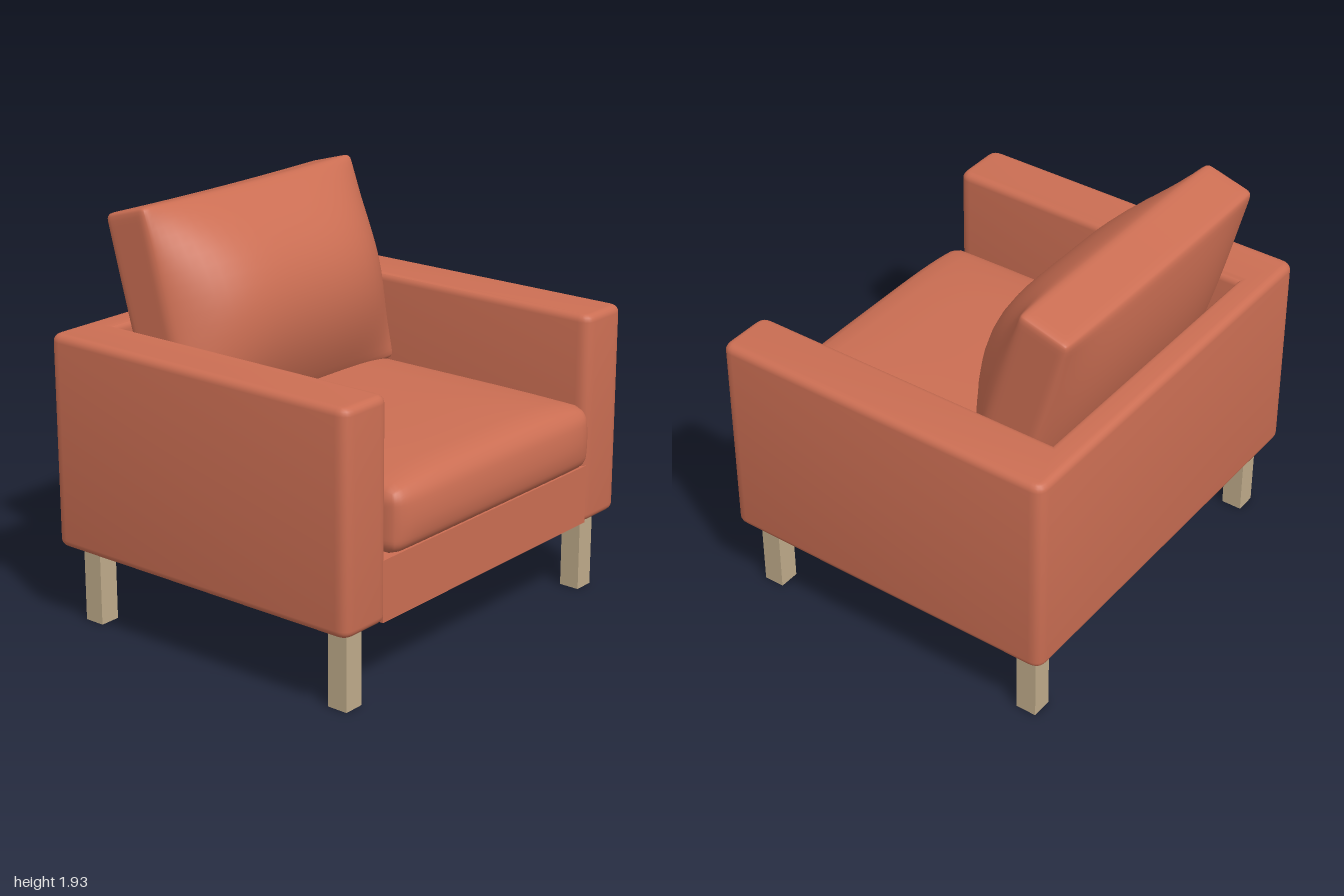
import * as THREE from 'three';
import { mergeVertices, toCreasedNormals } from 'three/addons/utils/BufferGeometryUtils.js';

const fabric = new THREE.MeshStandardMaterial({ color: 0xcb6e53 });
fabric.name = 'terracotta fabric';
const wood = new THREE.MeshStandardMaterial({ color: 0xbfab8a });
wood.name = 'pale wood';

function part(name, geometry, material, x = 0, y = 0, z = 0) {
  const mesh = new THREE.Mesh(geometry, material);
  mesh.name = name;
  mesh.position.set(x, y, z);
  return mesh;
}

// Outline through [x, y, cornerRadius] points
function roundedOutline(points) {
  const shape = new THREE.Shape();
  points.forEach(([x, y, r], i) => {
    const corner = new THREE.Vector2(x, y);
    const towards = (j) => {
      const [px, py] = points[(j + points.length) % points.length];
      return new THREE.Vector2(px, py).sub(corner).setLength(r).add(corner);
    };
    const a = r ? towards(i - 1) : corner;
    if (i === 0) shape.moveTo(a.x, a.y);
    else shape.lineTo(a.x, a.y);
    if (r) {
      const b = towards(i + 1);
      shape.quadraticCurveTo(x, y, b.x, b.y);
    }
  });
  shape.closePath();
  return shape;
}

// Rounded block whose faces swell by a rule; swell(u, v, w) returns an offset,
// with u, v, w running from -1 to 1 across the block
function cushion(w, h, d, radius, swell) {
  let geo = new THREE.BoxGeometry(2, 2, 2, 28, 24, 16);
  geo.deleteAttribute('uv');
  geo.deleteAttribute('normal');
  geo = mergeVertices(geo);
  const half = new THREE.Vector3(w / 2, h / 2, d / 2);
  const inner = half.clone().subScalar(radius);
  const pos = geo.attributes.position;
  const p = new THREE.Vector3();
  const ease = (t) => Math.sin(t * Math.PI / 2); // crowds points near the edges
  for (let i = 0; i < pos.count; i++) {
    p.fromBufferAttribute(pos, i);
    p.set(ease(p.x), ease(p.y), ease(p.z)).multiply(half);
    const core = p.clone().clamp(inner.clone().negate(), inner);
    p.sub(core).setLength(radius).add(core);
    const n = p.clone().divide(half);
    p.add(swell(n.x, n.y, n.z));
    pos.setXYZ(i, p.x, p.y, p.z);
  }
  geo.computeVertexNormals();
  return geo;
}

export function createModel() {
  const group = new THREE.Group();
  group.name = 'armchair';

  // Arms and back as one U-shaped body with softened edges
  const bevel = 0.035, r = 0.06;
  const outline = roundedOutline([
    [-1, -0.81, r], [-0.72, -0.81, r], [-0.72, 0.74, 0], [0.72, 0.74, 0],
    [0.72, -0.81, r], [1, -0.81, r], [1, 0.88, r], [-1, 0.88, r],
  ]);
  const body = new THREE.ExtrudeGeometry(outline, {
    depth: 1 - 2 * bevel, curveSegments: 5,
    bevelThickness: bevel, bevelSize: bevel, bevelOffset: -bevel, bevelSegments: 5,
  });
  body.rotateX(-Math.PI / 2);
  group.add(part('armsAndBack', toCreasedNormals(body, 0.7), fabric, 0, 0.372 + bevel, 0));

  // Seat base between the arms
  group.add(part('seatBase', new THREE.BoxGeometry(1.5, 0.28, 1.59), fabric, 0, 0.513, 0.01));

  // Seat cushion: crowned top, rounded front
  const seat = cushion(1.45, 0.3, 1.58, 0.07, (u, v, w) => new THREE.Vector3(
    0,
    Math.max(v, 0) * 0.06 * (1 - u ** 4) * (1 - w ** 4 * 0.5),
    Math.max(w, 0) ** 6 * 0.04 * (1 - v * v) * (1 - u ** 8),
  ));
  group.add(part('seatCushion', seat, fabric, 0, 0.805, 0.05));

  // Back cushion: leaning, plump in front and slightly full behind
  const back = cushion(1.43, 1, 0.25, 0.03, (u, v, w) => new THREE.Vector3(
    0,
    -0.008 * Math.max(v, 0) * (1 - u * u),
    w * (w > 0 ? 0.25 : 0.075) * (1 - u ** 4) * (1 - v * v),
  ));
  const backCushion = part('backCushion', back, fabric, 0, 1.42, -0.545);
  backCushion.rotation.x = -0.276;
  group.add(backCushion);

  // Square legs
  for (const side of [-1, 1]) {
    for (const [name, z] of [['frontLeg', 0.69], ['backLeg', -0.75]]) {
      group.add(part(name, new THREE.BoxGeometry(0.1, 0.38, 0.1), wood, side * 0.86, 0.19, z));
    }
  }
  return group;
}
